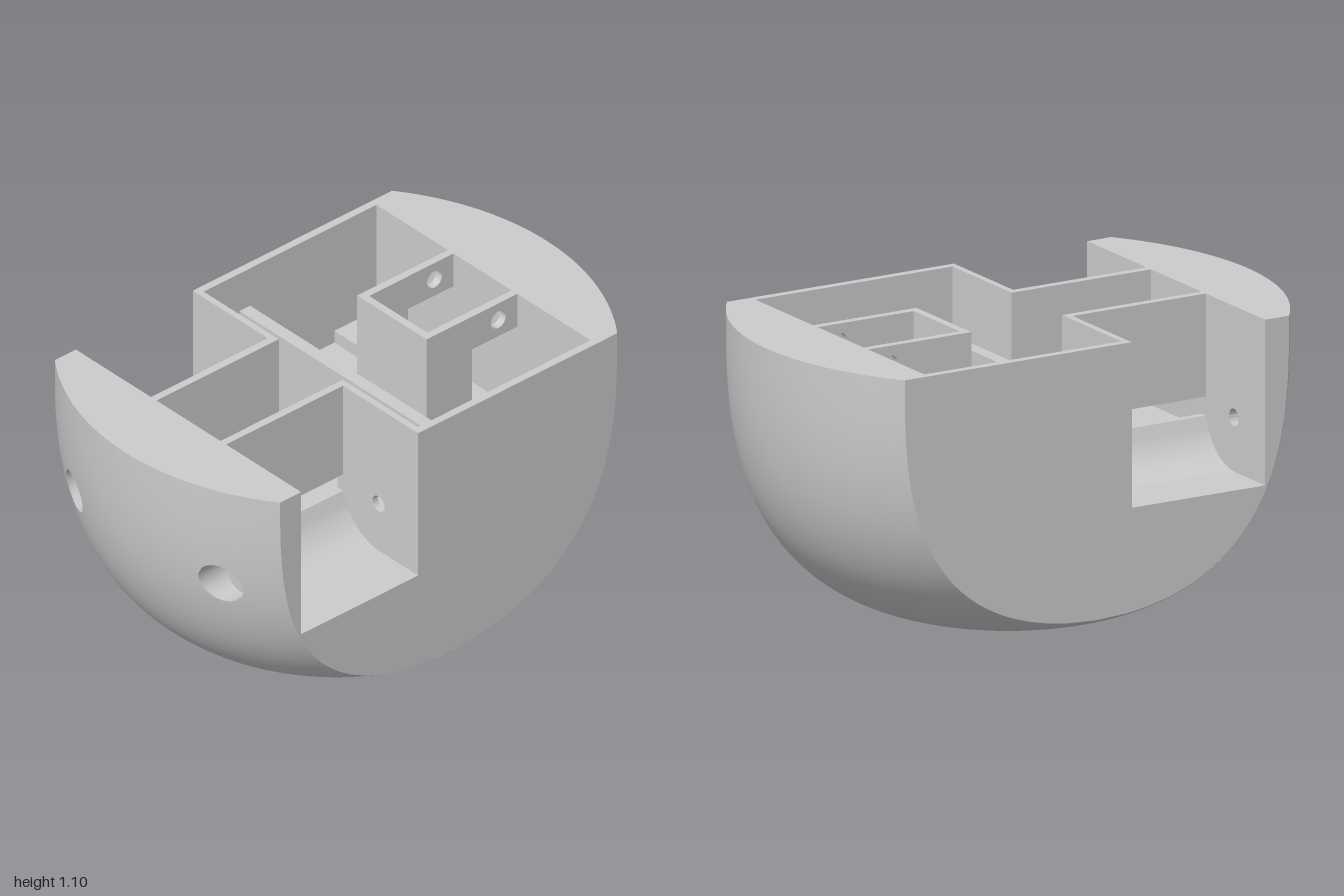
import * as THREE from 'three';
import { toCreasedNormals } from 'three/addons/utils/BufferGeometryUtils.js';

const H = 1.1, N = 2.85, CUT = 0.6, FLOOR = 0.6;
const AXLE_Y = 0.69, AXLE_Z = 0.39, BORE = 0.08, PIN = 0.032;
const PX0 = -0.7, PX1 = -0.145, IX = -0.12;      // wheel pocket and inner wall x
const radiusAt = y => Math.pow(1 - Math.pow(1 - y / H, N), 1 / N);

export function createModel() {
  const group = new THREE.Group();
  const mat = new THREE.MeshStandardMaterial({ color: 0xcccccc, side: THREE.DoubleSide });
  const add = (name, geo) => {
    const mesh = new THREE.Mesh(geo, mat);
    mesh.name = name;
    group.add(mesh);
    return mesh;
  };
  // Surface through rows of points; cells lying inside a hole are left out
  const grid = (name, rows) => {
    const w = rows[0].length, idx = [];
    for (let i = 0; i < rows.length - 1; i++) for (let j = 0; j < w - 1; j++) {
      const q = [rows[i][j], rows[i][j + 1], rows[i + 1][j], rows[i + 1][j + 1]];
      if (q.every(p => p.inHole)) continue;
      const a = i * w + j, b = a + 1, c = a + w, d = c + 1;
      idx.push(a, c, b, b, c, d);
    }
    const geo = new THREE.BufferGeometry();
    geo.setAttribute('position', new THREE.Float32BufferAttribute(rows.flat().flatMap(p => [p[0], p[1], p[2]]), 3));
    geo.setIndex(idx);
    geo.computeVertexNormals();
    return add(name, toCreasedNormals(geo, 0.5));
  };
  const makeShape = (pts, holes = []) => {
    const s = new THREE.Shape(pts.map(p => new THREE.Vector2(...p)));
    for (const h of holes) s.holes.push(new THREE.Path(h.map(p => new THREE.Vector2(...p))));
    return s;
  };
  // Flat face placed in space by a mapping of its two coordinates
  const flat = (name, pts, holes, place) => {
    const geo = new THREE.ShapeGeometry(makeShape(pts, holes));
    const pos = geo.attributes.position;
    for (let i = 0; i < pos.count; i++) pos.setXYZ(i, ...place(pos.getX(i), pos.getY(i)));
    geo.computeVertexNormals();
    return add(name, geo);
  };
  const box = (name, x0, x1, y0, y1, z0, z1) =>
    add(name, new THREE.BoxGeometry(x1 - x0, y1 - y0, z1 - z0))
      .position.set((x0 + x1) / 2, (y0 + y1) / 2, (z0 + z1) / 2);
  const circle = (a, b, r, n = 40) => Array.from({ length: n + 1 }, (_, i) => {
    const t = i / n * Math.PI * 2;
    return [a + r * Math.cos(t), b + r * Math.sin(t)];
  });
  const ring = (a, b, r) => circle(a, b, r).slice(0, -1);
  const rect = (a0, a1, b0, b1) => [[a0, b0], [a1, b0], [a1, b1], [a0, b1]];

  // Bowl profile, with a row exactly where the flat faces begin
  const angleOf = r => Math.asin(Math.pow(r, N / 2));
  const profile = [];
  const span = (t0, t1, n, from) => {
    for (let i = from; i <= n; i++) {
      const t = t0 + (t1 - t0) * i / n;
      profile.push([Math.pow(Math.sin(t), 2 / N), H * (1 - Math.pow(Math.max(0, Math.cos(t)), 2 / N))]);
    }
  };
  span(angleOf(0.1), angleOf(CUT), 24, 0);
  span(angleOf(CUT), Math.PI / 2, 60, 1);

  // Rounded sides; the right one is opened for the axle bores
  for (const s of [1, -1]) {
    grid(s > 0 ? 'leftShell' : 'rightShell', profile.map(([r, y]) => Array.from({ length: 73 }, (_, j) => {
      const a = (j / 36 - 1) * Math.asin(Math.min(1, CUT / r));
      const p = [s * r * Math.cos(a), y, r * Math.sin(a)];
      if (s < 0 && y > 0.5) for (const c of [AXLE_Z, -AXLE_Z]) {
        const dz = p[2] - c, dy = p[1] - AXLE_Y, d = Math.hypot(dz, dy);
        if (d >= BORE) continue;
        const k = BORE / Math.max(d, 1e-4);
        p[2] = c + dz * k;
        p[1] = AXLE_Y + dy * k;
        p[0] = -Math.sqrt(radiusAt(p[1]) ** 2 - p[2] ** 2);
        p.inHole = true;
      }
      return p;
    })));
  }

  // Shallow round recess underneath
  const y0 = profile[0][1];
  grid('baseRecessWall', [y0, 0.03].map(y => circle(0, 0, 0.1).map(([x, z]) => [x, y, z])));
  flat('baseRecessTop', ring(0, 0, 0.1), [], (x, z) => [x, 0.03, z]);

  // Flat front and back with the wheel pocket opening
  const edge = profile.filter(([r]) => r >= CUT - 1e-6)
    .map(([r, y]) => [Math.sqrt(Math.max(0, r * r - CUT * CUT)), y]);
  const facePts = [...edge, [PX1, H], [PX1, 0.49], [PX0, 0.49], [PX0, H],
    ...edge.slice(1).reverse().map(([x, y]) => [-x, y])];
  for (const s of [1, -1]) flat(s > 0 ? 'frontFace' : 'backFace', facePts, [], (x, y) => [x, y, s * CUT]);

  // Top rim around pockets and compartment
  const A = Math.asin(CUT);
  const arc = s => Array.from({ length: 73 }, (_, j) => {
    const a = A * (1 - j / 36);
    return [s * Math.cos(a), s * Math.sin(a)];
  });
  const notch = s => [[PX1, -0.6], [PX1, -0.2], [PX0, -0.2], [PX0, -0.6]].map(([x, z]) => [x, z * s]);
  const inner = [[PX0, -0.17], [IX, -0.17], [IX, -0.57], [0.7, -0.57],
    [0.7, 0.57], [IX, 0.57], [IX, 0.17], [PX0, 0.17]];
  flat('topRim', [...arc(1), ...notch(1), ...arc(-1), ...notch(-1).reverse()], [inner], (x, z) => [x, H, z]);

  // Compartment floor with a sunken tray
  const tray = rect(0.22, 0.62, 0.22, 0.44);
  flat('compartmentFloor', inner, [tray], (x, z) => [x, FLOOR, z]);
  flat('trayFloor', tray, [], (x, z) => [x, 0.5, z]);
  grid('trayWalls', [0.5, FLOOR].map(y => [...tray, tray[0]].map(([x, z]) => [x, y, z])));

  // Plain compartment walls
  const outerWall = [[IX, -0.57], [0.7, -0.57], [0.7, 0.57], [IX, 0.57]];
  grid('compartmentWalls', [FLOOR, H].map(y => outerWall.map(([x, z]) => [x, y, z])));
  flat('motorBayEnd', rect(-0.17, 0.17, FLOOR, H), [], (z, y) => [PX0, y, z]);

  // Wheel pockets, mirrored front and back
  const floorLine = [[0.6, 0.49]];
  for (let i = 0; i <= 20; i++) {
    const t = i / 20 * Math.acos(0.435);
    floorLine.push([0.4 - 0.2 * Math.sin(t), AXLE_Y - 0.2 * Math.cos(t)]);
  }
  floorLine.push([0.2, 0.65], [0.17, 0.65]);
  const sidePts = [...floorLine, [0.17, H], [0.6, H]];
  for (const s of [1, -1]) {
    const n = s > 0 ? 'front' : 'back';
    const pin = ring(AXLE_Z, AXLE_Y, PIN);
    grid(n + 'PocketFloor', [PX0, PX1].map(x => [...floorLine, [0.17, FLOOR]].map(([z, y]) => [x, y, s * z])));
    for (const x of [PX0, PX1]) flat(n + 'PocketSide', sidePts, [pin], (z, y) => [x, y, s * z]);
    flat(n + 'BayWall', rect(0.17, 0.57, FLOOR, H), [pin], (z, y) => [IX, y, s * z]);
    flat(n + 'BayCorner', rect(PX1, IX, FLOOR, H), [], (x, y) => [x, y, s * 0.17]);
    // Thin wall hanging above the through window
    const hang = [[H, 0.2], [0.72, 0.2], [0.72, 0.17], [H, 0.17]];
    grid(n + 'PocketWall', [PX0, PX1].map(x => hang.map(([y, z]) => [x, y, s * z])));
    // Counterbored axle hole
    const tube = (r, xa, xb) => [xa, xb].map(x => circle(s * AXLE_Z, AXLE_Y, r).map(([z, y]) =>
      [x ?? -Math.sqrt(radiusAt(y) ** 2 - z * z), y, z]));
    grid(n + 'AxleCounterbore', tube(BORE, null, -0.8));
    grid(n + 'AxleHole', tube(PIN, -0.8, PX0));
    grid(n + 'AxleWallHole', tube(PIN, PX1, IX));
    flat(n + 'AxleSeat', ring(AXLE_Z, AXLE_Y, BORE), [pin], (z, y) => [-0.8, y, s * z]);
  }

  // Dividers: low cross wall, ledge and the small box with notched, drilled sides
  box('crossWall', 0.05, 0.1, FLOOR, 0.94, -0.57, 0.57);
  box('ledge', 0.5, 0.7, FLOOR, 0.65, -0.57, -0.19);
  box('boxEndWall', 0.27, 0.3, FLOOR, H, -0.16, 0.15);
  const boxSide = makeShape([[0.27, FLOOR], [0.485, FLOOR], [0.485, 0.96], [0.7, 0.96], [0.7, H], [0.27, H]],
    [ring(0.61, 1.03, 0.035)]);
  for (const z of [-0.19, 0.15]) {
    const side = new THREE.ExtrudeGeometry(boxSide, { depth: 0.03, bevelEnabled: false });
    add('boxSideWall', toCreasedNormals(side, 0.5)).position.z = z;
  }
  return group;
}
